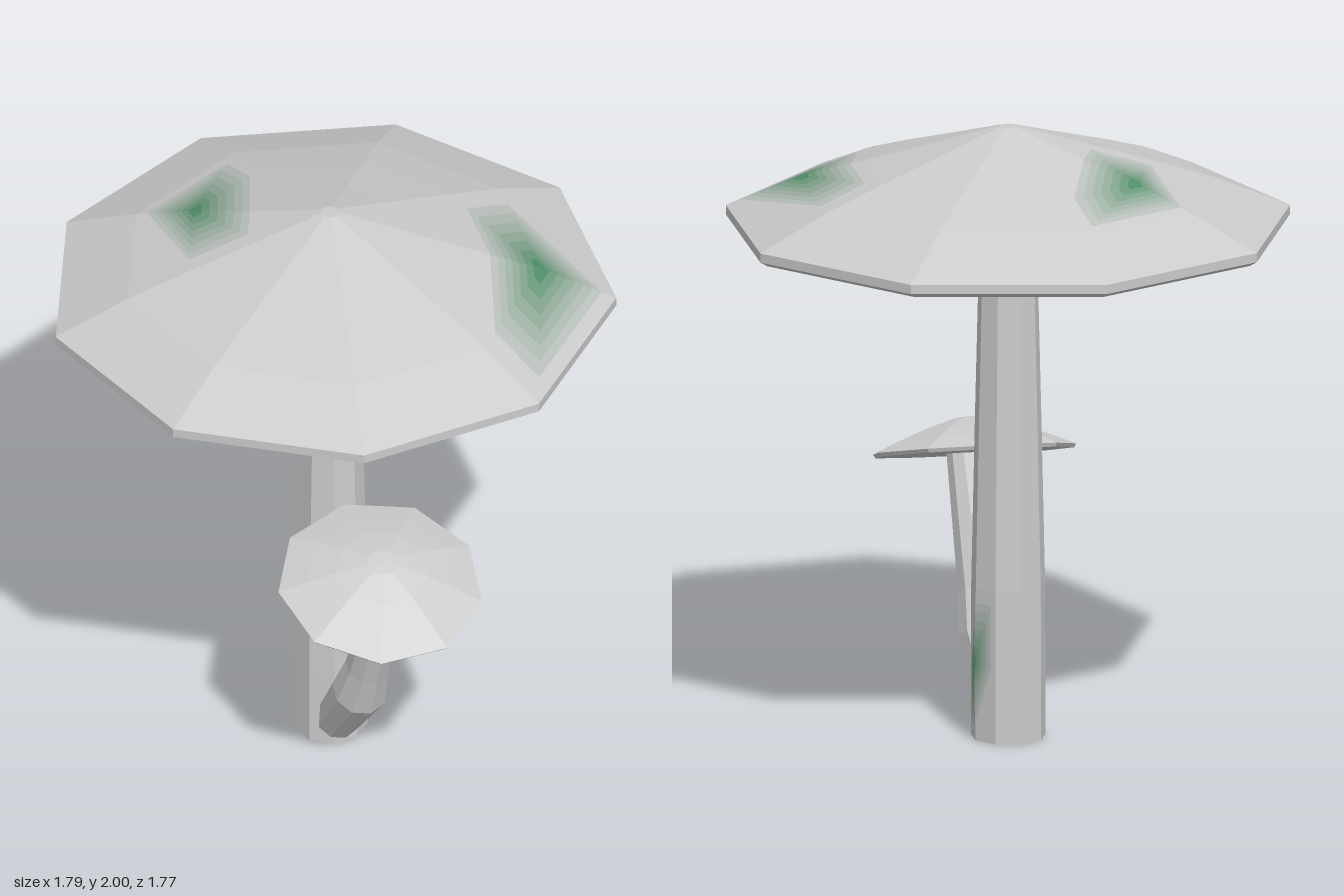
import * as THREE from 'three';

const SIDES = 9;
const STEP = (Math.PI * 2) / SIDES;
const CENTRE_Z = 0.02;
const GREY = new THREE.Color(0xcccccc);
const MOSS = new THREE.Color(0x1f8552);

const flat = (color = GREY) => new THREE.MeshStandardMaterial({ color, flatShading: true });

// Profiles are [radius, height], listed from the bottom up.
const CAP = [[0, 1.655], [0.885, 1.655], [0.91, 1.67], [0.91, 1.7], [0.67, 1.8], [0.47, 1.865], [0.23, 1.938], [0.03, 2], [0, 2]];
const STEM = [[0, 0], [0.12, 0], [0.12, 0.25], [0.119, 0.5], [0.107, 1.05], [0.092, 1.66]];
const SMALL_CAP = [[0, -0.008], [0.322, -0.008], [0.33, 0.004], [0.24, 0.042], [0.15, 0.076], [0.05, 0.105], [0, 0.108]];

// Nine-sided turned part with a corner pointing to the back.
function turned(name, profile) {
  const points = profile.map(([r, y]) => new THREE.Vector2(r, y));
  const mesh = new THREE.Mesh(new THREE.LatheGeometry(points, SIDES, Math.PI), flat());
  mesh.name = name;
  return mesh;
}

// Moss spot that fades out from one corner of a turned part towards its neighbours.
function mossPatch(name, profile, level, corner, lift) {
  const group = new THREE.Group();
  group.name = name;
  const at = (dCorner, dLevel) => {
    const [r, y] = profile[level + dLevel];
    const a = (corner + dCorner) * STEP;
    return new THREE.Vector3(r * Math.sin(a), y, -r * Math.cos(a));
  };
  const centre = at(0, 0);
  const around = [[-1, 0], [-1, 1], [0, 1], [1, 0], [1, -1], [0, -1]].map(([c, l]) => at(c, l));
  const layers = 8;
  for (let i = 0; i < layers; i++) {
    const size = 0.92 * (1 - i / layers);
    const ring = around.map((p) => centre.clone().lerp(p, size));
    const corners = ring.flatMap((p, k) => [centre, p, ring[(k + 1) % ring.length]]);
    const geometry = new THREE.BufferGeometry().setFromPoints(corners);
    geometry.computeVertexNormals();
    const mesh = new THREE.Mesh(geometry, flat(GREY.clone().lerp(MOSS, 1 - size)));
    mesh.name = 'mossShade';
    mesh.position.copy(lift).multiplyScalar(0.0008 * (i + 1));
    group.add(mesh);
  }
  return group;
}

// Bent stem: a cylinder whose rings are moved onto tilted cross-sections.
function bentStem() {
  const rings = [ // height, depth, radius, forward tilt in degrees
    [0.065, 0.09, 0.072, 36],
    [0.28, 0.25, 0.09, 31],
    [0.41, 0.305, 0.072, 24],
    [0.84, 0.462, 0.055, 18],
  ];
  const last = rings.length - 1;
  const geometry = new THREE.CylinderGeometry(1, 1, last, SIDES, last);
  const pos = geometry.attributes.position;
  for (let i = 0; i < pos.count; i++) {
    const [y, z, r, tilt] = rings[Math.round(pos.getY(i) + last / 2)];
    const t = THREE.MathUtils.degToRad(tilt);
    const d = pos.getZ(i) * r;
    pos.setXYZ(i, -0.01 + pos.getX(i) * r, y - d * Math.sin(t), z + d * Math.cos(t));
  }
  geometry.computeVertexNormals();
  const mesh = new THREE.Mesh(geometry, flat());
  mesh.name = 'smallStem';
  return mesh;
}

export function createModel() {
  const model = new THREE.Group();
  model.name = 'mushrooms';

  // Tall mushroom with moss on cap and stem
  const tall = new THREE.Group();
  tall.name = 'tallMushroom';
  tall.position.z = CENTRE_Z;
  const up = new THREE.Vector3(0, 1, 0);
  const side = new THREE.Vector3(1, 0, 0);
  tall.add(
    turned('stem', STEM),
    turned('cap', CAP),
    mossPatch('capMossBack', CAP, 5, -1, up),
    mossPatch('capMossFront', CAP, 4, 3, up),
    mossPatch('stemMoss', STEM, 2, 2, side),
  );

  // Small leaning mushroom in front
  const small = new THREE.Group();
  small.name = 'smallMushroom';
  const smallCap = turned('smallCap', SMALL_CAP);
  smallCap.position.set(-0.037, 0.83, 0.445);
  smallCap.rotation.set(0.285, -0.09, 0.045);
  small.add(bentStem(), smallCap);

  model.add(tall, small);
  return model;
}
